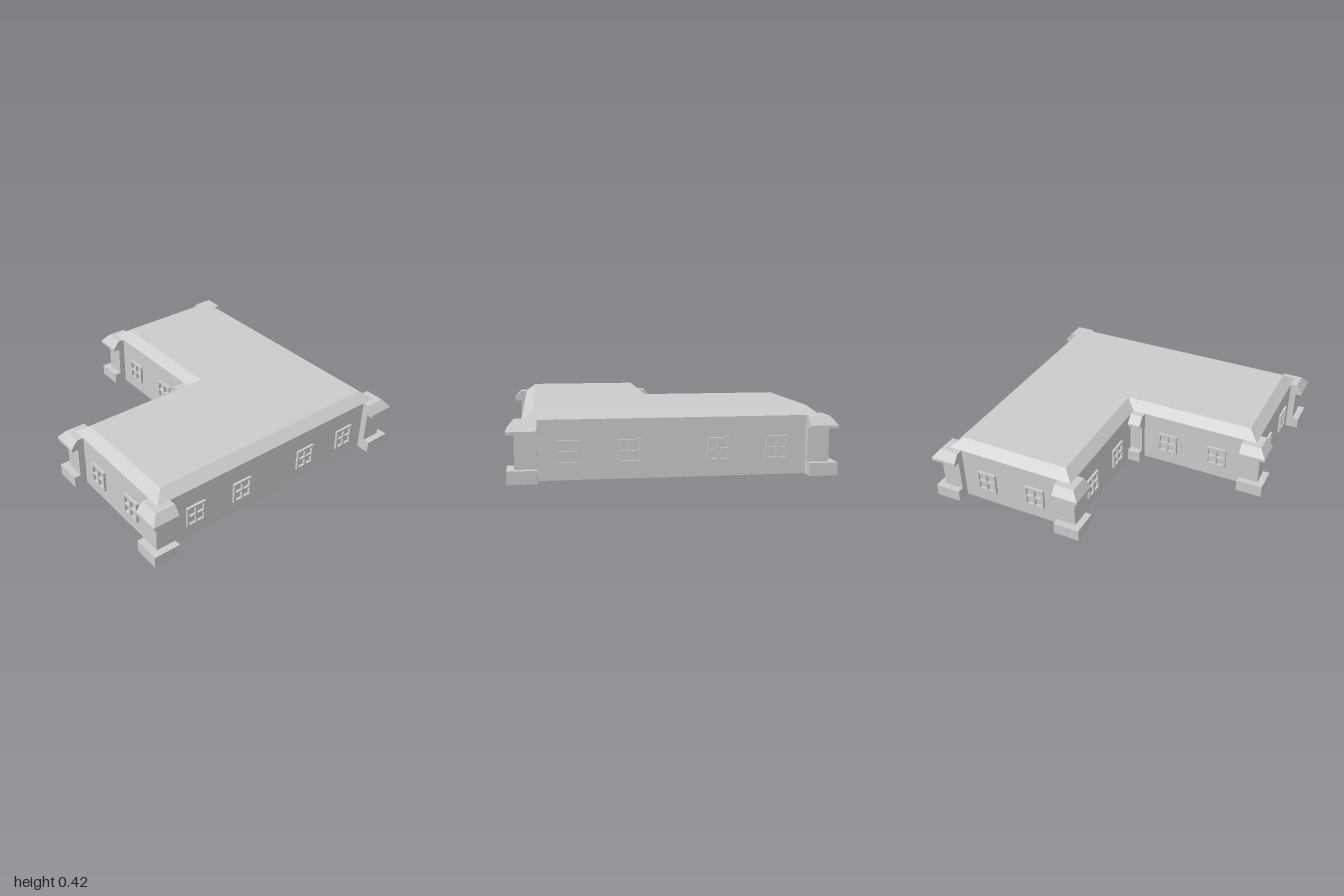
import * as THREE from 'three';

const WALL = 0.365, TOP = 0.42, REACH = 0.09, INSET = 0.07;
const material = new THREE.MeshStandardMaterial({ color: 0xcccccc, flatShading: true, side: THREE.DoubleSide });

// Corner post section: [distance out from the wall, height]
const section = [[0.09, 0], [0.09, 0.08], [0.045, 0.08], [0.045, 0.29], [0.09, 0.29], [0.09, 0.31], [0.045, WALL], [0, WALL]];

// Mesh from a list of four-cornered faces
function quadMesh(name, quads, flip = false) {
  const pos = [];
  for (const q of quads) {
    const [a, b, c, d] = flip ? [...q].reverse() : q;
    pos.push(...a, ...b, ...c, ...a, ...c, ...d);
  }
  const geo = new THREE.BufferGeometry();
  geo.setAttribute('position', new THREE.Float32BufferAttribute(pos, 3));
  geo.computeVertexNormals();
  const mesh = new THREE.Mesh(geo, material);
  mesh.name = name;
  return mesh;
}

// Calls fn for each step of the post section
function eachStep(fn) {
  for (let i = 0; i + 1 < section.length; i++) fn(...section[i], ...section[i + 1]);
}

// Post wrapped around an outward corner; sx, sz point outwards
function cornerPost(cx, cz, sx, sz) {
  const quads = [];
  const A = (d, y) => [cx - sx * REACH, y, cz + sz * d];
  const M = (d, y) => [cx + sx * d, y, cz + sz * d];
  const B = (d, y) => [cx + sx * d, y, cz - sz * REACH];
  eachStep((d0, y0, d1, y1) => {
    quads.push([A(d0, y0), M(d0, y0), M(d1, y1), A(d1, y1)]);
    quads.push([M(d0, y0), B(d0, y0), B(d1, y1), M(d1, y1)]);
    if (y1 > y0) {
      quads.push([A(0, y0), A(d0, y0), A(d1, y1), A(0, y1)]);
      quads.push([B(d0, y0), B(0, y0), B(0, y1), B(d1, y1)]);
    }
  });
  return quadMesh('cornerPost', quads, sx * sz < 0);
}

// Half post standing in the inner corner
function innerPost() {
  const quads = [];
  eachStep((d0, y0, d1, y1) => {
    quads.push([[-d0, y0, 0], [-d0, y0, REACH], [-d1, y1, REACH], [-d1, y1, 0]]);
    if (y1 > y0) quads.push([[-d0, y0, REACH], [0, y0, REACH], [0, y1, REACH], [-d1, y1, REACH]]);
  });
  return quadMesh('innerPost', quads);
}

// Window frame with four openings
function windowGeometry() {
  const rect = (s, x, y, w, h) => s.moveTo(x, y).lineTo(x + w, y).lineTo(x + w, y + h).lineTo(x, y + h).closePath();
  const shape = rect(new THREE.Shape(), -0.07, -0.0725, 0.14, 0.145);
  for (const x of [-0.056, 0.006])
    for (const y of [-0.0585, 0.006]) shape.holes.push(rect(new THREE.Path(), x, y, 0.05, 0.0525));
  return new THREE.ExtrudeGeometry(shape, { depth: 0.017, bevelEnabled: false });
}

export function createModel() {
  const group = new THREE.Group();
  group.name = 'building';

  // L-shaped plan as [x, z], and the inset roof edge
  const E = 0.91;
  const plan = [[-E, 0], [0, 0], [0, E], [E, E], [E, -E], [-E, -E]];
  const I = E - INSET;
  const inner = [[-I, -INSET], [INSET, -INSET], [INSET, I], [I, I], [I, -I], [-I, -I]];

  // Walls run between the posts; the roof edge slopes above them
  const walls = [], slopes = [];
  plan.forEach((a, i) => {
    const j = (i + 1) % plan.length, b = plan[j];
    const len = Math.hypot(b[0] - a[0], b[1] - a[1]);
    const at = (t, y) => [a[0] + (b[0] - a[0]) * t / len, y, a[1] + (b[1] - a[1]) * t / len];
    const end = j === 1 ? len : len - REACH;
    walls.push([at(REACH, 0), at(end, 0), at(end, WALL), at(REACH, WALL)]);
    const up = (p, y) => [p[0], y, p[1]];
    slopes.push([up(a, WALL), up(b, WALL), up(inner[j], TOP), up(inner[i], TOP)]);
  });
  group.add(quadMesh('walls', walls), quadMesh('roofEdge', slopes));

  // Flat roof
  const roof = [[0, 1, 4, 5], [1, 2, 3, 4]].map(q => q.map(k => [inner[k][0], TOP, inner[k][1]]));
  group.add(quadMesh('roof', roof));

  // Posts
  for (const c of [[-E, -E, -1, -1], [E, -E, 1, -1], [E, E, 1, 1], [0, E, -1, 1], [-E, 0, -1, 1]])
    group.add(cornerPost(...c));
  group.add(innerPost());

  // Windows: wall position, facing angle, places along the wall
  const frame = windowGeometry();
  const far = 0.637, near = 0.272;
  const addWindow = (x, z, angle) => {
    const mesh = new THREE.Mesh(frame, material);
    mesh.name = 'windowFrame';
    mesh.position.set(x, 0.168, z);
    mesh.rotation.y = angle;
    group.add(mesh);
  };
  for (const p of [-far, -near, near, far]) {
    addWindow(p, -E, Math.PI);
    addWindow(E, p, Math.PI / 2);
    addWindow(p, p < 0 ? 0 : E, 0);
    addWindow(p < 0 ? -E : 0, p, -Math.PI / 2);
  }
  return group;
}
